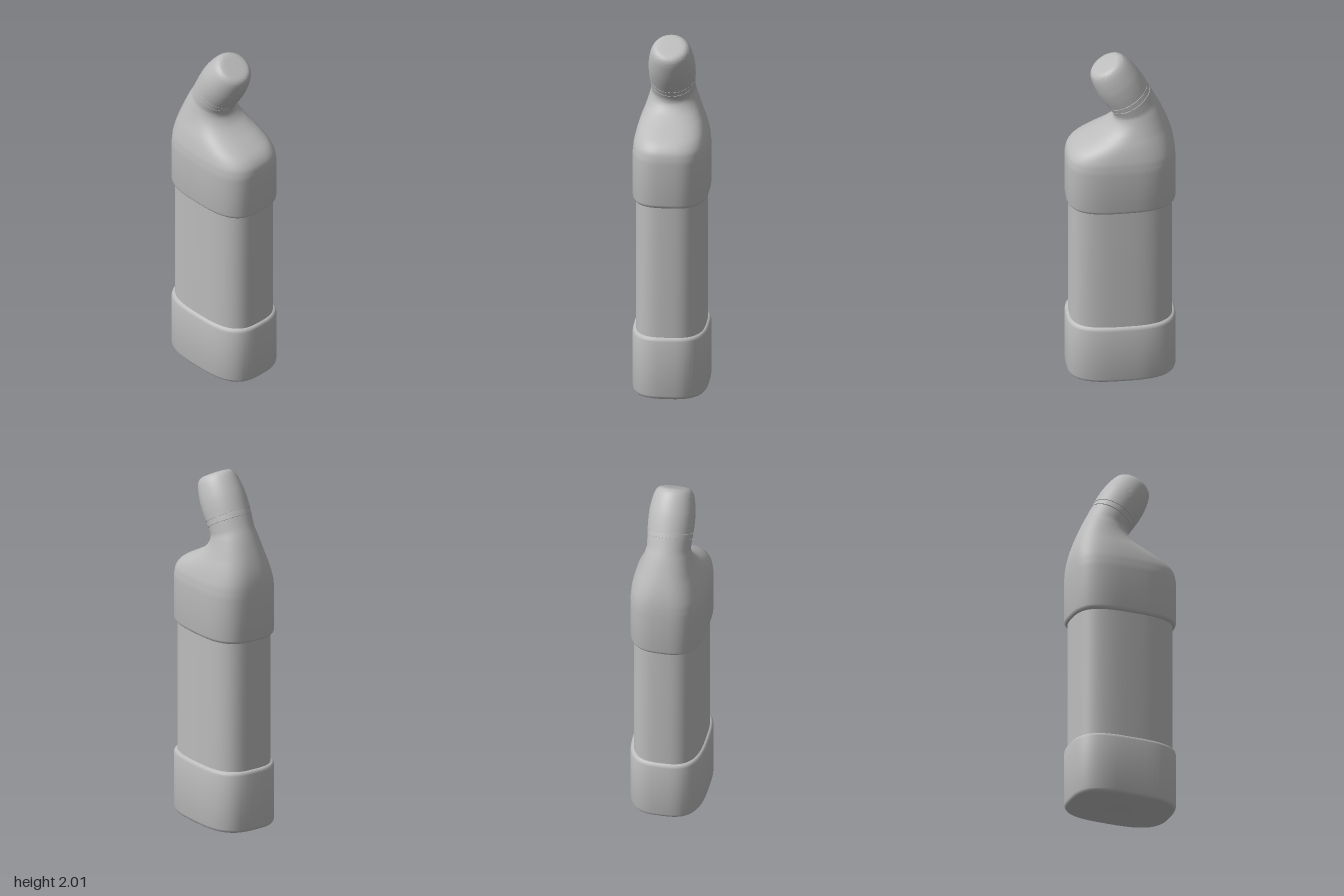
import * as THREE from 'three';
import { toCreasedNormals } from 'three/addons/utils/BufferGeometryUtils.js';

const SIDES = 56;

// Section: [left x, left y, right x, right y, half depth, roundness exponent]
function loft(name, sections, material) {
  const pos = [], index = [];
  for (const [lx, ly, rx, ry, depth, n] of sections) {
    for (let j = 0; j < SIDES; j++) {
      const a = (j / SIDES) * Math.PI * 2;
      const bend = (v) => Math.sign(v) * Math.abs(v) ** (2 / n);
      const u = bend(Math.cos(a)), w = bend(Math.sin(a));
      pos.push((lx + rx) / 2 + u * (rx - lx) / 2, (ly + ry) / 2 + u * (ry - ly) / 2, w * depth);
    }
  }
  for (let i = 0; i < sections.length - 1; i++) {
    for (let j = 0; j < SIDES; j++) {
      const k = (j + 1) % SIDES;
      const a = i * SIDES + j, b = i * SIDES + k, c = a + SIDES, d = b + SIDES;
      index.push(a, c, b, b, c, d);
    }
  }
  // Close both ends with a fan
  const last = (sections.length - 1) * SIDES;
  for (const [s, base] of [[sections[0], 0], [sections.at(-1), last]]) {
    const centre = pos.length / 3;
    pos.push((s[0] + s[2]) / 2, (s[1] + s[3]) / 2, 0);
    for (let j = 0; j < SIDES; j++) {
      const a = base + j, b = base + (j + 1) % SIDES;
      if (base === 0) index.push(centre, a, b);
      else index.push(centre, b, a);
    }
  }
  const geometry = new THREE.BufferGeometry();
  geometry.setAttribute('position', new THREE.Float32BufferAttribute(pos, 3));
  geometry.setIndex(index);
  const mesh = new THREE.Mesh(toCreasedNormals(geometry, 0.75), material);
  mesh.name = name;
  return mesh;
}

// Level section of the bottle, inset from its widest outline
const level = (y, inset) => [-0.3 + inset, y, 0.3 - inset, y, 0.208 - inset, 3];

// Section tilted with the spout, t along its axis from the cap's lower edge
function tilted(t, r) {
  const x = -0.038 + 0.51 * t, y = 1.766 + 0.86 * t;
  return [x - 0.86 * r, y + 0.51 * r, x + 0.86 * r, y - 0.51 * r, r * 0.985, 2];
}

// Smooth run of sections through a few key ones
function smooth(keys, steps) {
  const curve = (f) => new THREE.CatmullRomCurve3(keys.map((k) => new THREE.Vector3(...f(k))));
  const left = curve((k) => [k[0], k[1], 0]);
  const right = curve((k) => [k[2], k[3], 0]);
  const shape = curve((k) => [k[4], k[5], 0]);
  return Array.from({ length: steps + 1 }, (_, i) => {
    const l = left.getPoint(i / steps), r = right.getPoint(i / steps), s = shape.getPoint(i / steps);
    return [l.x, l.y, r.x, r.y, s.x, s.y];
  });
}

export function createModel() {
  const group = new THREE.Group();
  group.name = 'bottle';
  const grey = new THREE.MeshStandardMaterial({ color: 0xbcbcbc });
  grey.name = 'grey plastic';

  // Wide base with rounded rims and a shallow hollow underneath
  group.add(loft('base', [
    level(0.008, 0.05), level(0, 0.036), level(0, 0.02), level(0.005, 0.008), level(0.012, 0.003),
    level(0.022, 0), level(0.335, 0), level(0.346, 0.003), level(0.353, 0.009), level(0.356, 0.018),
  ], grey));

  // Narrower straight body
  group.add(loft('body', [level(0.34, 0.017), level(1.12, 0.017)], grey));

  // Shoulder sweeping from the collar into the slanted neck
  const neck = smooth([
    [-0.3, 1.38, 0.3, 1.375, 0.208, 3],
    [-0.297, 1.43, 0.291, 1.42, 0.203, 2.95],
    [-0.29, 1.48, 0.262, 1.46, 0.192, 2.8],
    [-0.278, 1.53, 0.2, 1.5, 0.177, 2.6],
    [-0.262, 1.58, 0.122, 1.543, 0.158, 2.4],
    [-0.243, 1.63, 0.064, 1.584, 0.142, 2.25],
    [-0.22, 1.685, 0.037, 1.625, 0.128, 2.1],
    [-0.19, 1.745, 0.04, 1.65, 0.121, 2],
    tilted(-0.036, 0.125),
  ], 32);
  group.add(loft('shoulder', [
    level(1.105, 0.018), level(1.108, 0.009), level(1.115, 0.003), level(1.126, 0), level(1.36, 0), ...neck,
  ], grey));

  // Neck band between two fine grooves
  group.add(loft('neckBand', [
    tilted(-0.037, 0.121), tilted(-0.033, 0.121), tilted(-0.032, 0.126),
    tilted(-0.003, 0.127), tilted(-0.002, 0.122), tilted(0.002, 0.122),
  ], grey));

  // Tapered cap with a rounded flat end
  group.add(loft('cap', smooth([
    tilted(0, 0.128), tilted(0.05, 0.13), tilted(0.1, 0.129), tilted(0.16, 0.121), tilted(0.2, 0.111),
    tilted(0.222, 0.1), tilted(0.234, 0.085), tilted(0.238, 0.068), tilted(0.239, 0.045),
  ], 32), grey));

  return group;
}
